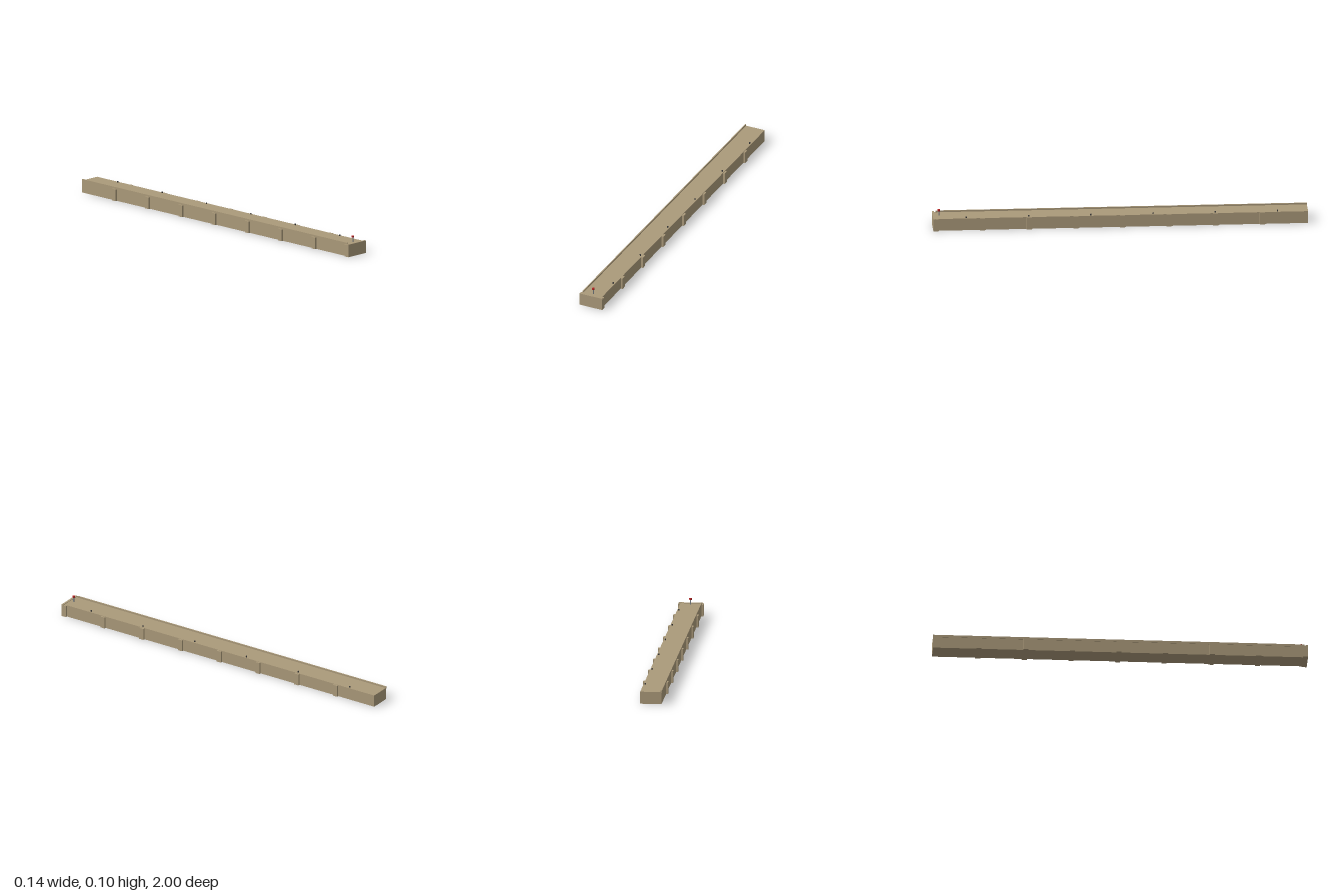
import * as THREE from 'three';

const stone = new THREE.MeshStandardMaterial({ color: 0xab9a7a });
const iron = new THREE.MeshStandardMaterial({ color: 0x3a3a3a });
const steel = new THREE.MeshStandardMaterial({ color: 0x80868c });
const red = new THREE.MeshStandardMaterial({ color: 0xb52222 });

export function createModel() {
  const pier = new THREE.Group();
  pier.name = 'pier';

  // Box given by its minimum and maximum corners
  const box = (name, [x0, y0, z0], [x1, y1, z1]) => {
    const mesh = new THREE.Mesh(new THREE.BoxGeometry(x1 - x0, y1 - y0, z1 - z0), stone);
    mesh.name = name;
    mesh.position.set((x0 + x1) / 2, (y0 + y1) / 2, (z0 + z1) / 2);
    pier.add(mesh);
  };

  // Upright cylinder standing between two heights
  const post = (name, material, rTop, rBottom, y0, y1, x, z) => {
    const mesh = new THREE.Mesh(new THREE.CylinderGeometry(rTop, rBottom, y1 - y0, 12), material);
    mesh.name = name;
    mesh.position.set(x, (y0 + y1) / 2, z);
    pier.add(mesh);
  };

  const deckY = 0.066;

  // Long wall, its wider end cap and the parapet on the right edge
  box('wall', [-0.057, 0, -1], [0.057, deckY, 0.995]);
  box('endCap', [-0.066, 0, 0.988], [0.066, 0.0685, 1]);
  box('parapet', [-0.059, deckY - 0.004, -1], [-0.053, 0.0745, 0.98]);

  // Buttresses along both sides
  for (let i = 0; i < 8; i++) {
    const z = 0.986 - i * 0.2487;
    for (const side of [-1, 1]) {
      const xs = [side * 0.05, side * 0.0675].sort((a, b) => a - b);
      box('buttress', [xs[0], 0, z - 0.0135], [xs[1], 0.064, z + 0.0135]);
    }
  }

  // Mooring bollards along the left edge
  for (let i = 0; i < 6; i++) {
    post('bollard', iron, 0.004, 0.0035, deckY, 0.073, 0.047, 0.823 - i * 0.332);
  }

  // Beacon at the front end
  post('beaconPole', steel, 0.0028, 0.0028, deckY, 0.092, 0, 0.967);
  post('beaconLamp', red, 0.007, 0.007, 0.0915, 0.1005, 0, 0.967);

  return pier;
}
